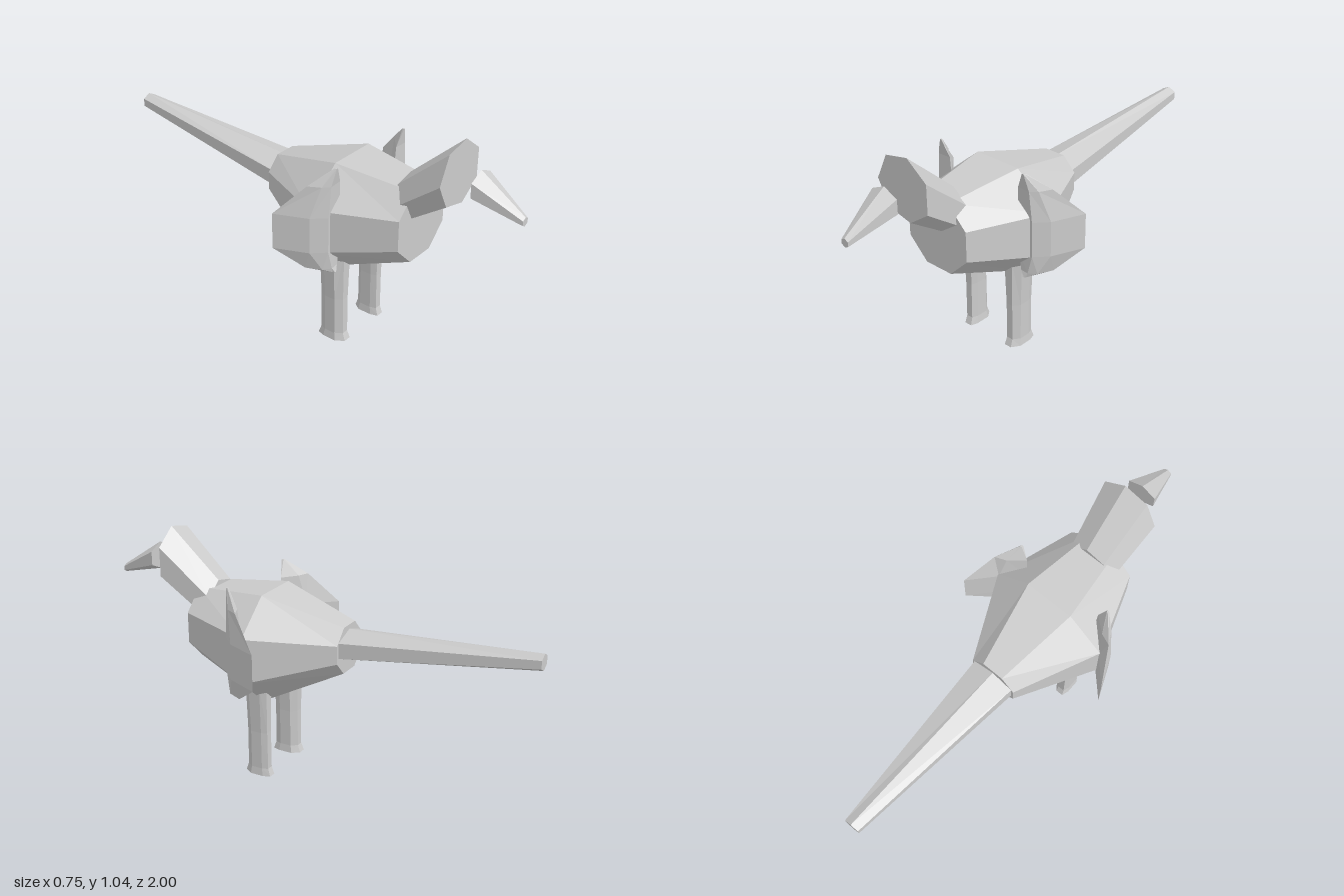
import * as THREE from 'three';

// Closed, faceted solid through rings of [x, y, z] points with equal counts
function loft(rings) {
  const n = rings[0].length, tris = [];
  for (let r = 0; r < rings.length - 1; r++) {
    for (let i = 0; i < n; i++) {
      const j = (i + 1) % n;
      const a = rings[r][i], b = rings[r][j], c = rings[r + 1][j], d = rings[r + 1][i];
      tris.push([a, b, c], [a, c, d]);
    }
  }
  const last = rings[rings.length - 1];
  for (let i = 1; i < n - 1; i++) {
    tris.push([rings[0][0], rings[0][i + 1], rings[0][i]], [last[0], last[i], last[i + 1]]);
  }
  // turn the faces outward, whichever way the rings run
  const [va, vb, vc] = [new THREE.Vector3(), new THREE.Vector3(), new THREE.Vector3()];
  let volume = 0;
  for (const [a, b, c] of tris) {
    volume += va.fromArray(a).dot(vb.fromArray(b).cross(vc.fromArray(c)));
  }
  if (volume < 0) tris.forEach(t => t.reverse());
  const g = new THREE.BufferGeometry();
  g.setAttribute('position', new THREE.Float32BufferAttribute(tris.flat(2), 3));
  g.computeVertexNormals();
  return g;
}

// Octagon across z with separate outer and bevelled widths and heights
const octagon = (z, cy, w, h, wi, hi) => [
  [wi, h], [w, hi], [w, -hi], [wi, -h], [-wi, -h], [-w, -hi], [-w, hi], [-wi, h],
].map(([x, y]) => [x, cy + y, z]);

// Hexagon across z with a point at top and bottom
const hexagon = (z, cy, w, h) => [
  [0, h], [w, h / 2], [w, -h / 2], [0, -h], [-w, -h / 2], [-w, h / 2],
].map(([x, y]) => [x, cy + y, z]);

export function createModel() {
  const bird = new THREE.Group();
  bird.name = 'bird';
  const grey = new THREE.MeshStandardMaterial({ color: 0xcccccc });
  grey.name = 'light grey';
  grey.flatShading = true;
  const add = (name, rings) => {
    const mesh = new THREE.Mesh(loft(rings), grey);
    mesh.name = name;
    bird.add(mesh);
  };

  // Body, widest at the wings
  add('body', [
    octagon(0.55, 0.64, 0.16, 0.16, 0.068, 0.068),
    octagon(0.2, 0.588, 0.28, 0.243, 0.112, 0.1),
    octagon(-0.16, 0.628, 0.11, 0.103, 0.05, 0.04),
  ]);

  // Long tapering tail
  add('tail', [hexagon(-0.15, 0.643, 0.1, 0.068), hexagon(-1, 0.728, 0.034, 0.036)]);

  // Seven-sided head and neck, cut off flat at the front
  const headOutline = [[-0.085, 0.113], [0.03, 0.138], [0.128, 0.063], [0.128, -0.067],
    [0.03, -0.137], [-0.085, -0.11], [-0.14, -0.002]];
  const headRing = (z, cy, s) => headOutline.map(([x, y]) => [x * s, cy + y * s, z]);
  add('head', [headRing(0.71, 0.907, 1), headRing(0.475, 0.72, 0.8)]);

  // Beak, set ahead of the head
  add('beak', [hexagon(0.8, 0.892, 0.067, 0.062), hexagon(1, 0.803, 0.018, 0.019)]);

  // Wing sections by height: inner front, ridge, bulge, rear tip, inside
  const wingSections = [
    [0.885, [0.222, 0.298], [0.23, 0.298], [0.232, 0.292], [0.232, 0.288], [0.224, 0.29]],
    [0.81, [0.19, 0.285], [0.25, 0.288], [0.278, 0.262], [0.305, 0.21], [0.255, 0.23]],
    [0.675, [0.185, 0.28], [0.263, 0.285], [0.315, 0.23], [0.376, 0.088], [0.275, 0.2]],
    [0.515, [0.185, 0.28], [0.263, 0.285], [0.315, 0.23], [0.376, 0.088], [0.275, 0.2]],
    [0.43, [0.205, 0.285], [0.242, 0.288], [0.275, 0.265], [0.305, 0.2], [0.25, 0.23]],
    [0.408, [0.222, 0.295], [0.23, 0.295], [0.235, 0.288], [0.238, 0.28], [0.226, 0.285]],
  ];
  // Leg levels: height, centre x, half width, half depth
  const legLevels = [[0, 0.127, 0.035, 0.066], [0.035, 0.127, 0.031, 0.054],
    [0.21, 0.127, 0.032, 0.053], [0.44, 0.128, 0.042, 0.058]];
  const legOutline = [[1, 0.45], [0.3, 1], [-0.7, 1], [-1, 0.5], [-1, -0.5], [-0.3, -1],
    [0.7, -1], [1, -0.5]];

  for (const [side, label] of [[1, 'left'], [-1, 'right']]) {
    add(label + 'Wing', wingSections.map(([y, ...pts]) => pts.map(([x, z]) => [side * x, y, z])));
    add(label + 'Leg', legLevels.map(([y, cx, w, d]) =>
      legOutline.map(([x, z]) => [side * (cx + x * w), y, 0.215 + z * d])));
  }
  return bird;
}
